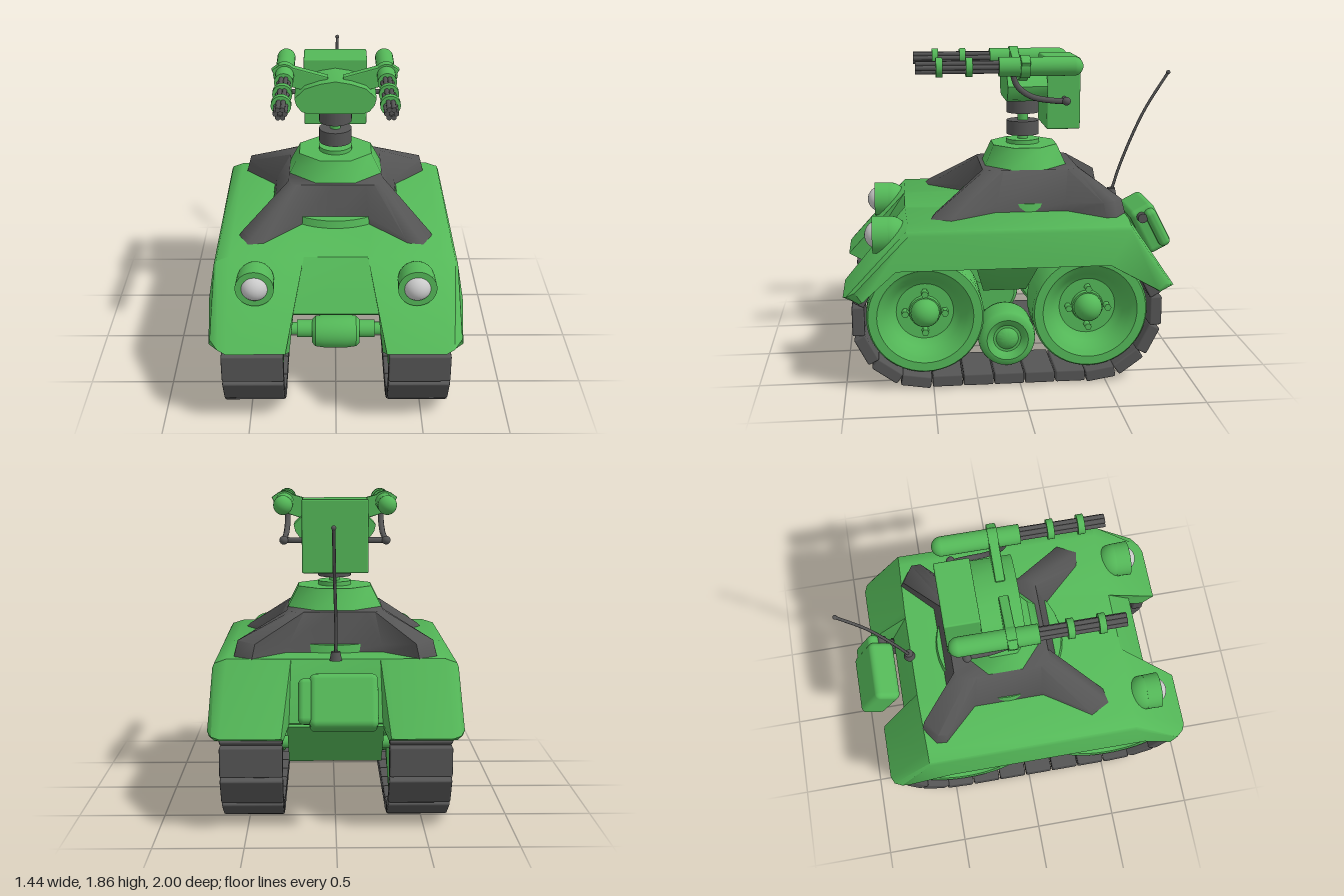
import * as THREE from 'three';
import { toCreasedNormals } from 'three/addons/utils/BufferGeometryUtils.js';
import { RoundedBoxGeometry } from 'three/addons/geometries/RoundedBoxGeometry.js';

const V = (x, y, z) => new THREE.Vector3(x, y, z);
const green = new THREE.MeshStandardMaterial({ color: 0x54b858 });
const dark = new THREE.MeshStandardMaterial({ color: 0x555555 });
const light = new THREE.MeshStandardMaterial({ color: 0xcccccc });

// Skins a row of equal-length closed rings; cap lists triangles inside a ring.
function loft(rings, cap, capStart = true, crease = 0.9) {
  const n = rings[0].length, last = (rings.length - 1) * n, pts = rings.flat(), idx = [];
  for (let i = 0; i < rings.length - 1; i++) {
    for (let j = 0; j < n; j++) {
      const a = i * n + j, b = i * n + (j + 1) % n;
      idx.push(a, b, b + n, a, b + n, a + n);
    }
  }
  for (const [a, b, c] of cap) {
    idx.push(last + a, last + b, last + c);
    if (capStart) idx.push(a, c, b);
  }
  // Turn the faces outward if the rings run the other way.
  let volume = 0;
  for (let i = 0; i < idx.length; i += 3) {
    const [a, b, c] = [0, 1, 2].map((k) => pts[idx[i + k]].clone().sub(pts[0]));
    volume += a.dot(b.cross(c));
  }
  if (volume < 0) idx.reverse();
  const geo = new THREE.BufferGeometry().setFromPoints(pts);
  geo.setIndex(idx);
  return toCreasedNormals(geo, crease);
}
const fan = (n) => Array.from({ length: n - 2 }, (_, i) => [0, i + 1, i + 2]);
const outline = (pts) => new THREE.Shape(pts.map(([x, y]) => new THREE.Vector2(x, y)));

export function createModel() {
  const model = new THREE.Group();
  const add = (name, geo, mat, x = 0, y = 0, z = 0, parent = model) => {
    const mesh = new THREE.Mesh(geo, mat);
    mesh.name = name;
    mesh.position.set(x, y, z);
    parent.add(mesh);
    return mesh;
  };
  const cyl = (r1, r2, h, n = 24) => new THREE.CylinderGeometry(r1, r2, h, n);
  const tube = (pts, r, n = 24) => new THREE.TubeGeometry(new THREE.CatmullRomCurve3(pts), n, r, 8);
  const ball = (r) => new THREE.SphereGeometry(r, 24, 16);

  // Hull: side profiles from the centre outward, each point [x, y, z].
  const half = [
    [[.24, .67, .79], [.24, .69, .81], [.18, .96, .64], [.25, .96, -.63], [.26, .62, -.74], [.26, .60, -.71], [.26, .7, -.5], [.24, .69, .6]],
    [[.26, .51, .92], [.28, .55, 1.0], [.18, .96, .64], [.25, .96, -.63], [.30, .57, -.88], [.29, .54, -.81], [.29, .72, -.5], [.28, .72, .7]],
    [[.28, .51, .92], [.30, .55, 1.0], [.22, .96, .64], [.29, .96, -.63], [.32, .57, -.885], [.31, .54, -.81], [.31, .87, -.5], [.31, .87, .6]],
    [[.62, .515, .92], [.61, .55, 1.0], [.60, .96, .63], [.61, .96, -.62], [.635, .57, -.885], [.64, .54, -.81], [.67, .87, -.5], [.67, .87, .6]],
    [[.67, .525, .91], [.655, .565, .98], [.675, .935, .64], [.68, .935, -.62], [.68, .58, -.865], [.67, .54, -.80], [.69, .72, -.5], [.69, .72, .70]],
    [[.712, .545, .89], [.70, .60, .93], [.69, .91, .63], [.69, .91, -.62], [.705, .60, -.82], [.70, .56, -.78], [.72, .72, -.5], [.72, .72, .70]],
  ];
  const station = (s) => (ring) => ring.map(([x, y, z]) => V(s * x, y, z));
  const hullCap = [[0, 1, 2], [0, 2, 7], [2, 3, 6], [2, 6, 7], [3, 4, 5], [3, 5, 6]];
  add('hull', loft([...half.map(station(-1)).reverse(), ...half.map(station(1))], hullCap), green);

  // Lower hull and the sponson between the wheels
  const belly = outline([[-.79, .68], [-.2, .5], [.06, .5], [.28, .31], [.45, .31], [.74, .6], [.5, .75], [-.5, .75]]);
  const bellyGeo = new THREE.ExtrudeGeometry(belly, { depth: .54, bevelEnabled: false });
  add('lowerHull', bellyGeo.translate(0, 0, -.27).rotateY(Math.PI / 2), green);
  const rect = (x, y, z1, z2) => [V(x, y, z1), V(x, y, z2), V(-x, y, z2), V(-x, y, z1)];
  add('sponson', loft([rect(.62, .735, .26, -.126), rect(.42, .5, .195, -.056)], fan(4)), green);
  add('deckRing', cyl(.38, .39, .05, 40), green, 0, .98, -.085);

  // Grey four-armed skirt under the turret, each ring mirrored about x = 0
  const ringOf = (pts) => {
    const r = pts.map(([x, z, y]) => V(x, y, z));
    return [...r, ...r.slice(1, -1).reverse().map((p) => V(-p.x, p.y, p.z))];
  };
  const foot = [[0, .25], [.2, .25], [.42, .49], [.51, .505], [.57, .39], [.39, .12],
    [.39, -.3], [.58, -.5], [.575, -.56], [.47, -.63], [.28, -.45], [0, -.45]];
  const lift = [1, 1, .975, .98, .98, 1, 1, 1.04, 1.05, 1.04, 1, 1];
  const crown = [[0, .18], [.18, .18], [.23, .18], [.26, .17], [.28, .12], [.28, .06],
    [.28, -.26], [.28, -.32], [.26, -.37], [.23, -.39], [.18, -.39], [0, -.39]];
  add('turretSkirt', loft([
    ringOf(foot.map(([x, z]) => [x, z, .95])),
    ringOf(foot.map(([x, z], i) => [x * .96, (z + .1) * .96 - .1, lift[i]])),
    ringOf(crown.map(([x, z]) => [x, z, 1.185])),
  ], fan(22), false, 1.1), dark);

  // Turret base and neck
  const base = toCreasedNormals(cyl(.215, .275, .12, 8).rotateY(Math.PI / 8), .9);
  add('turretBase', base, green, 0, 1.245, -.09).scale.set(1.09, 1, .96);
  [['neckPlate', .1, 1.315, .03, green], ['neckShaft', .032, 1.44, .28, green],
    ['lowerCollar', .098, 1.40, .085, dark], ['upperCollar', .098, 1.53, .08, dark]]
    .forEach(([name, r, y, h, mat]) => add(name, cyl(r, r, h), mat, 0, y, -.085));

  // Turret head with a rounded front outline
  const head = outline([[-.16, 1.575], [.16, 1.575], [.2, 1.59], [.23, 1.63], [.24, 1.67], [.18, 1.73], [.09, 1.76],
    [0, 1.775], [-.09, 1.76], [-.18, 1.73], [-.24, 1.67], [-.23, 1.63], [-.2, 1.59]]);
  const headGeo = new THREE.ExtrudeGeometry(head, { depth: .235, bevelEnabled: false });
  add('turretHead', toCreasedNormals(headGeo, .7), green, 0, 0, -.205);
  add('ammoBox', new RoundedBoxGeometry(.38, .42, .2, 2, .01), green, 0, 1.62, -.305);

  // Wheel profiles: [radius, distance outward]
  const spin = (pts) => toCreasedNormals(new THREE.LatheGeometry(pts.map(([r, h]) => new THREE.Vector2(r, h)), 48), .6);
  const wheelGeo = spin([[0, -.15], [.32, -.15], [.335, -.135], [.335, .125], [.325, .14], [.275, .14],
    [.255, .125], [.235, .11], [.205, .07], [.185, .045], [.165, .03], [0, .03]]);
  const idlerGeo = spin([[0, -.12], [.14, -.12], [.16, -.1], [.167, -.07], [.167, .07], [.16, .1],
    [.145, .115], [.12, .12], [.1, .11], [.08, .09], [.065, .09], [.05, .105], [.03, .115], [0, .118]]);
  const padGeo = new RoundedBoxGeometry(.35, .07, .172, 1, .01);
  const wheelY = .414, frontZ = .54, rearZ = -.408, trackR = .377;

  for (const s of [1, -1]) {
    const side = s > 0 ? 'left' : 'right';
    // Road wheels with hub and bolts
    for (const [end, z] of [['Front', frontZ], ['Rear', rearZ]]) {
      const wheel = new THREE.Group();
      wheel.name = side + end + 'Wheel';
      wheel.position.set(s * .47, wheelY, z);
      wheel.rotation.z = -s * Math.PI / 2;
      model.add(wheel);
      add('wheelDisc', wheelGeo, green, 0, 0, 0, wheel);
      add('hubRing', cyl(.09, .095, .03), green, 0, .04, 0, wheel);
      add('hub', ball(.083), green, 0, .06, 0, wheel);
      for (let k = 0; k < 4; k++) {
        const a = k * Math.PI / 2;
        add('bolt', cyl(.021, .021, .06, 6), green, .114 * Math.cos(a), .055, .114 * Math.sin(a), wheel);
      }
    }
    add(side + 'Idler', idlerGeo, green, s * .455, .244, .067).rotation.z = -s * Math.PI / 2;

    // Track pads spaced evenly round a loop of two straights and two arcs
    const run = frontZ - rearZ, arc = Math.PI * trackR, count = 24;
    for (let i = 0; i < count; i++) {
      let d = (i + .66) * 2 * (run + arc) / count;
      const second = d >= run + arc;
      if (second) d -= run + arc;
      const dir = second ? -1 : 1;
      const a = Math.max(0, d - run) / trackR;
      const z = (frontZ + rearZ) / 2 + dir * (Math.min(d, run) - run / 2 + trackR * Math.sin(a));
      const pad = add(side + 'TrackPad', padGeo, dark, s * .47, wheelY - dir * trackR * Math.cos(a), z);
      pad.rotation.x = -a;
    }

    // Headlamp
    add(side + 'LampHousing', ball(.105), green, s * .45, .865, .73);
    add(side + 'LampBarrel', cyl(.108, .105, .09, 32), green, s * .45, .865, .785).rotation.x = Math.PI / 2;
    add(side + 'LampLens', ball(.082), light, s * .45, .865, .793);

    // Rotary gun
    const gun = new THREE.Group();
    gun.name = side + 'Gun';
    gun.position.set(s * .297, 1.793, 0);
    model.add(gun);
    const alongZ = (name, r, z, len, mat, x = 0, y = 0) => {
      add(name, cyl(r, r, len, r < .02 ? 10 : 24), mat, x, y, z, gun).rotation.x = Math.PI / 2;
    };
    alongZ('gunBody', .055, -.13, .44, green);
    add('gunTail', ball(.055), green, 0, 0, -.345, gun);
    alongZ('gunCollar', .066, -.06, .055, green);
    alongZ('barrelRing', .056, .26, .038, green);
    alongZ('barrelRing', .056, .43, .038, green);
    alongZ('barrelCore', .016, .32, .46, dark);
    for (let k = 0; k < 6; k++) {
      const a = k * Math.PI / 3;
      alongZ('barrel', .014, .325, .48, dark, .026 * Math.cos(a), .026 * Math.sin(a));
    }

    // Shoulder bracket reaching from the head round the gun
    const bracket = outline([[.05, 1.74], [.18, 1.7], [.29, 1.735], [.33, 1.75], [.365, 1.82], [.33, 1.845], [.26, 1.835], [.05, 1.775]]
      .map(([x, y]) => [s * x, y]));
    const bracketGeo = new THREE.ExtrudeGeometry(bracket, { depth: .035, bevelSize: .006, bevelThickness: .01, bevelSegments: 2 });
    add(side + 'ShoulderArm', bracketGeo, green, 0, 0, -.0775);

    // Ammunition feed hose
    add(side + 'FeedHose', tube([V(s * .28, 1.76, .01), V(s * .28, 1.68, -.02), V(s * .285, 1.62, -.1),
      V(s * .29, 1.595, -.22), V(s * .28, 1.59, -.29), V(s * .18, 1.59, -.31)], .017), dark);
    add(side + 'HoseJoint', ball(.025), dark, s * .295, 1.59, -.305);
  }

  // Axles and front gearbox
  const across = (name, r, len, y, z) => { add(name, cyl(r, r, len), green, 0, y, z).rotation.z = Math.PI / 2; };
  across('frontAxle', .038, .66, wheelY, frontZ);
  across('frontAxleSleeve', .052, .46, wheelY, frontZ);
  across('rearAxle', .038, .66, wheelY, rearZ);
  const gearbox = spin([[0, -.14], [.07, -.14], [.09, -.12], [.097, -.07], [.097, .07], [.09, .12], [.07, .14], [0, .14]]);
  add('gearbox', gearbox, green, 0, .395, frontZ).rotation.z = Math.PI / 2;

  // Whip antenna
  add('antennaBase', cyl(.025, .035, .05, 16), dark, 0, .98, -.64);
  add('antenna', tube([V(0, .98, -.64), V(0, 1.17, -.7), V(.01, 1.48, -.83), V(.015, 1.72, -.975)], .009), dark);
  add('antennaTip', ball(.013), dark, .015, 1.72, -.975);

  // Rear canister leaning along the tail slope
  const canister = new THREE.Group();
  canister.name = 'canister';
  canister.position.set(-.04, .77, -.868);
  canister.rotation.x = .48;
  model.add(canister);
  add('canisterBody', new RoundedBoxGeometry(.37, .3, .16, 4, .035), green, 0, 0, 0, canister);
  add('canisterSide', new RoundedBoxGeometry(.14, .25, .07, 3, .03), green, .175, 0, -.035, canister);
  add('canisterCap', cyl(.03, .03, .06, 12), dark, .2, .1, .02, canister).rotation.z = Math.PI / 2;
  return model;
}
